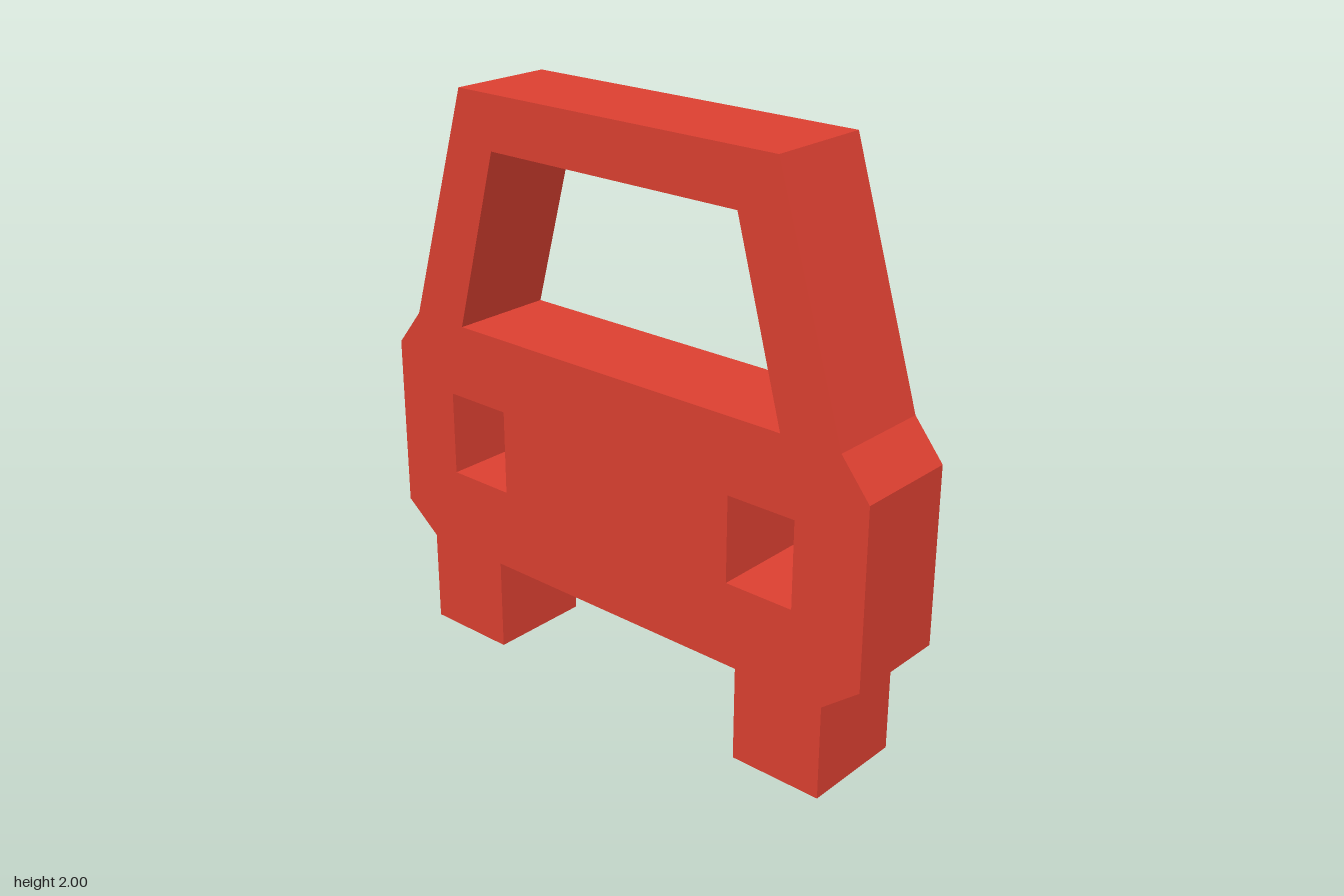
import * as THREE from 'three';

const DEPTH = 0.375;

// Closed path through a list of [x, y] points
function trace(path, points) {
  points.forEach(([x, y], i) => (i ? path.lineTo(x, y) : path.moveTo(x, y)));
  path.closePath();
  return path;
}

// Right half outline followed by its mirror image
function mirrored(half) {
  return [...half, ...half.slice().reverse().map(([x, y]) => [-x, y])];
}

export function createModel() {
  const red = new THREE.MeshStandardMaterial({ color: 0xdd4031 });
  red.name = 'red';

  // Car silhouette with two wheels at the bottom
  const outline = trace(new THREE.Shape(), mirrored([
    [0.53, 0.33], [0.53, 0], [0.865, 0], [0.865, 0.33], [1, 0.435],
    [1, 1.05], [0.895, 1.18], [0.643, 2],
  ]));

  // Windscreen opening
  outline.holes.push(trace(new THREE.Path(), mirrored([[0.677, 1.18], [0.502, 1.815]])));

  // Headlight openings
  for (const side of [-1, 1]) {
    outline.holes.push(trace(new THREE.Path(), [
      [side * 0.487, 0.62], [side * 0.74, 0.62], [side * 0.74, 0.92], [side * 0.487, 0.92],
    ]));
  }

  const geometry = new THREE.ExtrudeGeometry(outline, { depth: DEPTH, bevelEnabled: false });
  geometry.translate(0, 0, -DEPTH / 2);

  const body = new THREE.Mesh(geometry, red);
  body.name = 'carBody';

  const model = new THREE.Group();
  model.name = 'carCutout';
  model.add(body);
  return model;
}
